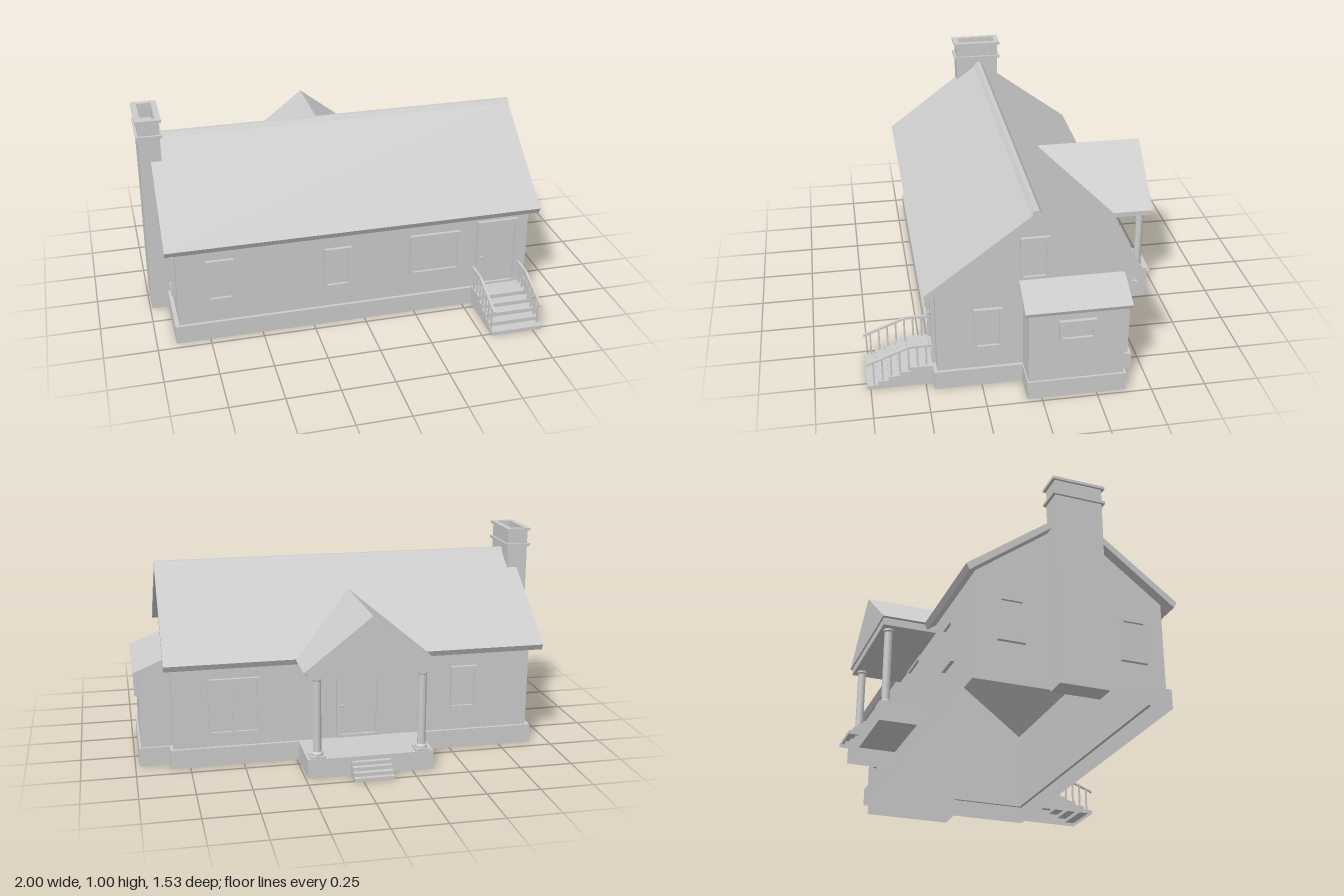
import * as THREE from 'three';

const mat = new THREE.MeshStandardMaterial({ color: 0xcccccc, flatShading: true, side: THREE.DoubleSide });

export function createModel() {
  const house = new THREE.Group();
  house.name = 'house';

  const add = (name, geo, parent = house) => {
    const mesh = new THREE.Mesh(geo, mat);
    mesh.name = name;
    parent.add(mesh);
    return mesh;
  };
  // Box given by its limits on each axis
  const box = (name, x0, x1, y0, y1, z0, z1, parent) => {
    const geo = new THREE.BoxGeometry(x1 - x0, y1 - y0, z1 - z0);
    geo.translate((x0 + x1) / 2, (y0 + y1) / 2, (z0 + z1) / 2);
    return add(name, geo, parent);
  };
  // Convex polygons, each split into a fan
  const faces = (name, polys) => {
    const pos = [];
    for (const p of polys)
      for (let i = 1; i < p.length - 1; i++) pos.push(...p[0], ...p[i], ...p[i + 1]);
    const geo = new THREE.BufferGeometry();
    geo.setAttribute('position', new THREE.Float32BufferAttribute(pos, 3));
    geo.computeVertexNormals();
    return add(name, geo);
  };
  // Level rectangle, and side faces joining a stack of them
  const rect = (x0, x1, z0, z1, y) => [[x0, y, z1], [x1, y, z1], [x1, y, z0], [x0, y, z0]];
  const loft = (loops) => {
    const out = [];
    for (let k = 0; k < loops.length - 1; k++)
      for (let i = 0; i < 4; i++) {
        const j = (i + 1) % 4;
        out.push([loops[k][i], loops[k][j], loops[k + 1][j], loops[k + 1][i]]);
      }
    return out;
  };
  const shapeOf = (pts) => new THREE.Shape(pts.map(([a, b]) => new THREE.Vector2(a, b)));
  // Profile of [z, y] points extruded from x0 to x1
  const alongX = (name, pts, x0, x1, parent) => {
    const geo = new THREE.ExtrudeGeometry(shapeOf(pts), { depth: x1 - x0, bevelEnabled: false });
    geo.rotateY(-Math.PI / 2).translate(x1, 0, 0);
    return add(name, geo, parent);
  };
  // Rectangular frame with an opening, lying in the xy plane
  const frame = (w, h, border, depth) => {
    const ring = (a, b) => [[-a, -b], [a, -b], [a, b], [-a, b]];
    const s = shapeOf(ring(w / 2, h / 2));
    s.holes.push(new THREE.Path(ring(w / 2 - border, h / 2 - border).map((p) => new THREE.Vector2(...p))));
    return new THREE.ExtrudeGeometry(s, { depth, bevelEnabled: false });
  };
  // Framed opening on a wall; the side turns it to face outward
  const turn = { front: 0, left: Math.PI / 2, back: Math.PI, right: -Math.PI / 2 };
  const opening = (name, side, x, z, y0, y1, w, bars = 0) => {
    const g = new THREE.Group();
    const h = y1 - y0;
    g.name = name;
    add('frame', frame(w, h, 0.014, 0.017), g);
    box('pane', -w / 2 + 0.01, w / 2 - 0.01, -h / 2 + 0.01, h / 2 - 0.01, 0, 0.005, g);
    for (let i = 1; i <= bars; i++) {
      const bx = -w / 2 + (w * i) / (bars + 1);
      box('mullion', bx - 0.008, bx + 0.008, -h / 2 + 0.01, h / 2 - 0.01, 0, 0.015, g);
    }
    g.position.set(x, (y0 + y1) / 2, z);
    g.rotation.y = turn[side];
    house.add(g);
    return g;
  };

  // Main walls on a slightly wider foundation, open underneath
  const X0 = -0.89, X1 = 0.825, Z0 = -0.43, Z1 = 0.45, ZM = 0.01, F = 0.09;
  const gable = (x) => [[x, 0.515, Z1], [x, 0.515, Z0], [x, 0.85, ZM]];
  faces('mainWalls', [
    ...loft([rect(-0.91, 0.84, -0.445, 0.465, 0), rect(-0.91, 0.84, -0.445, 0.465, F),
      rect(X0, X1, Z0, Z1, F), rect(X0, X1, Z0, Z1, 0.515)]),
    gable(X1), gable(X0).reverse(),
  ]);

  // Main roof and ridge cap
  alongX('mainRoof', [[0.505, 0.508], [ZM, 0.88], [-0.487, 0.508], [-0.472, 0.48], [ZM, 0.845], [0.49, 0.48]], -0.94, 0.86);
  alongX('ridgeCap', [[0.035, 0.868], [0.02, 0.887], [0, 0.887], [-0.017, 0.868], [ZM, 0.872]], -0.94, 0.86);

  // Side extension with a lean-to roof
  const E = 0.97, EZ0 = -0.372, EZ1 = 0.06;
  faces('extensionWalls', [
    ...loft([rect(X1, 0.98, -0.385, 0.065, 0), rect(X1, 0.98, -0.385, 0.065, F), rect(X1, E, EZ0, EZ1, F)]),
    [[X1, F, EZ1], [E, F, EZ1], [E, 0.455, EZ1], [X1, 0.515, EZ1]],
    [[E, F, EZ0], [X1, F, EZ0], [X1, 0.515, EZ0], [E, 0.455, EZ0]],
    [[E, F, EZ1], [E, F, EZ0], [E, 0.455, EZ0], [E, 0.455, EZ1]],
  ]);
  const leanTo = new THREE.ExtrudeGeometry(
    shapeOf([[X1, 0.53], [X1, 0.51], [0.988, 0.442], [0.995, 0.46]]), { depth: 0.475, bevelEnabled: false });
  add('extensionRoof', leanTo.translate(0, 0, -0.395));

  // Chimney with a hollow top and two bands
  faces('chimney', [
    ...loft([rect(-0.99, -0.89, -0.095, 0.13, 0), rect(-0.99, -0.89, -0.095, 0.13, 0.99),
      rect(-0.972, -0.908, -0.077, 0.112, 0.99), rect(-0.972, -0.908, -0.077, 0.112, 0.93)]),
    rect(-0.972, -0.908, -0.077, 0.112, 0.93),
    rect(-0.99, -0.89, -0.095, 0.13, 0).reverse(),
  ]);
  for (const y of [0.91, 0.987]) {
    const band = add('chimneyBand', frame(0.12, 0.25, 0.026, 0.013));
    band.rotation.x = -Math.PI / 2;
    band.position.set(-0.94, y, 0.0175);
  }

  // Front, side and back windows
  for (const [x, y0, y1, w] of [[-0.69, 0.205, 0.415, 0.13], [-0.13, 0.197, 0.402, 0.13], [0.35, 0.205, 0.415, 0.25]])
    opening('frontWindow', 'front', x, Z1, y0, y1, w);
  opening('leftWindow', 'left', X1, 0.218, 0.197, 0.402, 0.126);
  opening('atticWindow', 'left', X1, 0.012, 0.54, 0.745, 0.128);
  opening('extensionWindow', 'left', E, -0.155, 0.298, 0.4, 0.165);
  for (const z of [-0.27, 0.3]) opening('rightWindow', 'right', X0, z, 0.197, 0.402, 0.126);
  opening('backDoubleWindow', 'back', 0.54, Z0, 0.15, 0.42, 0.24, 1);
  opening('backWindow', 'back', -0.565, Z0, 0.2, 0.41, 0.13);

  // Doors with knobs
  for (const [name, side, x, z] of [['frontDoor', 'front', 0.667, Z1], ['backDoor', 'back', -0.045, Z0]]) {
    const door = opening(name, side, x, z, 0.095, 0.447, 0.205);
    const knob = add('knob', new THREE.SphereGeometry(0.007, 8, 6), door);
    knob.position.set(-0.075, -0.02, 0.011);
  }

  // Open-backed stairs: dir is the z direction they descend in
  const stairs = (name, x0, x1, zWall, edges, rise, dir) => {
    const polys = [];
    edges.forEach((z, i) => {
      const y = rise * (i + 1);
      const next = i + 1 < edges.length ? edges[i + 1] : zWall;
      polys.push([[x0, y - rise, z], [x1, y - rise, z], [x1, y, z], [x0, y, z]]);
      polys.push([[x0, y, z], [x1, y, z], [x1, y, next], [x0, y, next]]);
      for (const x of [x0, x1]) polys.push([[x, 0, z], [x, 0, next], [x, y, next], [x, y, z]]);
    });
    if (dir < 0) polys.forEach((p) => p.reverse());
    faces(name, polys);
  };
  const treadZ = [0.765, 0.715, 0.667, 0.617, 0.568];
  stairs('frontSteps', 0.545, 0.795, 0.465, treadZ, 0.0195, 1);
  stairs('backSteps', -0.145, 0.04, -0.68, [-0.765, -0.745, -0.722, -0.7], 0.0175, -1);

  // Front stair railings
  for (const x of [0.55, 0.783]) {
    const railing = new THREE.Group();
    railing.name = 'railing';
    house.add(railing);
    alongX('handrail', [[0.765, 0.122], [0.765, 0.132], [0.568, 0.208], [0.465, 0.208], [0.465, 0.198], [0.569, 0.198]],
      x - 0.006, x + 0.006, railing);
    for (let i = 0; i < 7; i++) {
      const z = 0.733 - i * 0.04;
      const base = treadZ.filter((t) => t >= z).length * 0.0195;
      const top = Math.min(0.2, 0.124 + (0.765 - z) * 0.386);
      box('baluster', x - 0.004, x + 0.004, base, top, z - 0.004, z + 0.004, railing);
    }
  }

  // Back porch platform, open underneath
  faces('porchFloor', [
    ...loft([rect(-0.35, 0.24, -0.68, -0.445, 0), rect(-0.35, 0.24, -0.68, -0.445, F)]),
    rect(-0.35, 0.24, -0.68, -0.43, F),
  ]);

  // Porch columns
  for (const x of [-0.3, 0.19]) {
    const column = new THREE.Group();
    column.name = 'porchColumn';
    column.position.set(x, 0, -0.643);
    house.add(column);
    box('plinth', -0.035, 0.035, F, 0.101, -0.035, 0.035, column);
    const profile = [[0.028, 0.101], [0.028, 0.11], [0.019, 0.118], [0.019, 0.455], [0.024, 0.46], [0.024, 0.472]];
    add('shaft', new THREE.LatheGeometry(profile.map((p) => new THREE.Vector2(...p)), 16), column);
  }

  // Porch ceiling beam and gabled roof meeting the main roof in two valleys
  box('porchBeam', -0.35, 0.24, 0.47, 0.505, -0.68, -0.43);
  const R = -0.055, zEnd = -0.688, yEave = 0.505;
  const ridgeIn = [R, 0.75, -0.165], ridgeOut = [R, 0.75, zEnd];
  const eave = (s, z) => [R + s * 0.313, yEave, z];
  faces('porchRoof', [
    [ridgeIn, ridgeOut, eave(-1, zEnd), eave(-1, -0.487)],
    [ridgeOut, ridgeIn, eave(1, -0.487), eave(1, zEnd)],
    [eave(1, zEnd), eave(-1, zEnd), ridgeOut],
    [eave(1, zEnd), eave(1, -0.45), eave(-1, -0.45), eave(-1, zEnd)],
  ]);

  return house;
}
